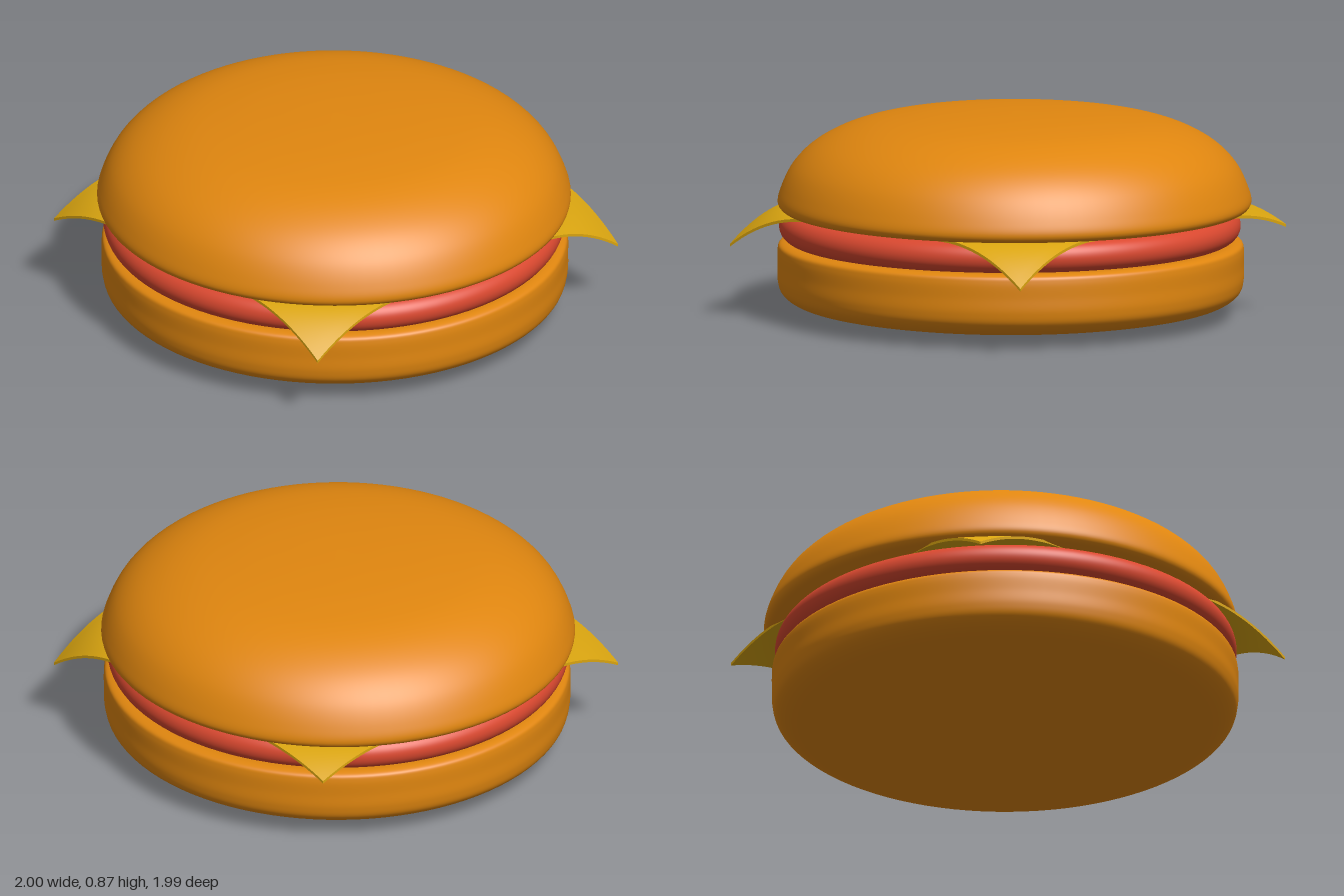
import * as THREE from 'three';

const bunMaterial = new THREE.MeshStandardMaterial({ color: 0xe0860f });
const pattyMaterial = new THREE.MeshStandardMaterial({ color: 0xd9482f });
const cheeseMaterial = new THREE.MeshStandardMaterial({ color: 0xdaa510 });

// Round solid from a profile of [radius, y] points listed from bottom to top.
function turned(name, profile, material, x, z) {
  const curve = new THREE.CatmullRomCurve3(
    profile.map(([r, y]) => new THREE.Vector3(r, y, 0)), false, 'centripetal');
  const points = curve.getPoints(90).map((p) => new THREE.Vector2(Math.max(p.x, 0), p.y));
  const mesh = new THREE.Mesh(new THREE.LatheGeometry(points, 96), material);
  mesh.name = name;
  mesh.position.set(x, 0, z);
  return mesh;
}

// Square slice whose corners hang down beyond the edge of the patty.
function cheeseSlice() {
  const geometry = new THREE.BoxGeometry(2, 0.012, 2, 48, 1, 48);
  const pos = geometry.attributes.position;
  // Corner x, z and the drop at its tip, by the signs of x and z
  const corners = {
    '1,1': [0.855, 0.84, 0.15], '1,-1': [0.855, -0.845, 0.165],
    '-1,1': [-0.82, 0.847, 0.115], '-1,-1': [-0.8, -0.822, 0.075],
  };
  for (let i = 0; i < pos.count; i++) {
    const u = pos.getX(i), v = pos.getZ(i);
    const su = u < 0 ? -1 : 1, sv = v < 0 ? -1 : 1;
    const [cx, cz, drop] = corners[`${su},${sv}`];
    // Edges stay straight at mid-side and ease into each corner
    const x = Math.abs(u) * (su * (su > 0 ? 0.855 : 0.82) * (1 - v * v) + cx * v * v);
    const z = Math.abs(v) * (sv * 0.847 * (1 - u * u) + cz * u * u);
    const t = Math.max(0, (Math.hypot(x, z) - 0.94) / (Math.hypot(cx, cz) - 0.94));
    pos.setXYZ(i, x, 0.456 + pos.getY(i) - drop * Math.pow(t, 1.7), z);
  }
  geometry.computeVertexNormals();
  const mesh = new THREE.Mesh(geometry, cheeseMaterial);
  mesh.name = 'cheeseSlice';
  return mesh;
}

export function createModel() {
  const group = new THREE.Group();
  group.name = 'cheeseburger';

  // Bottom bun with a rounded underside and a nearly square top rim
  group.add(turned('bottomBun', [
    [0, 0], [0.3, 0.004], [0.6, 0.018], [0.8, 0.04], [0.92, 0.07], [0.968, 0.108],
    [0.982, 0.155], [0.983, 0.22], [0.983, 0.285], [0.977, 0.308], [0.955, 0.319], [0.9, 0.321], [0, 0.321],
  ], bunMaterial, 0.015, 0.005));

  // Patty disc with a half-round rim
  const patty = [[0, 0.32], [0.85, 0.32]];
  for (let i = 0; i <= 8; i++) {
    const a = -Math.PI / 2 + (i / 8) * Math.PI;
    patty.push([0.908 + 0.065 * Math.cos(a), 0.386 + 0.065 * Math.sin(a)]);
  }
  patty.push([0.85, 0.451], [0, 0.451]);
  group.add(turned('patty', patty, pattyMaterial, 0.015, 0.01));

  group.add(cheeseSlice());

  // Domed top bun
  const topBun = turned('topBun', [
    [0, 0.46], [0.86, 0.455], [0.94, 0.453], [0.985, 0.463], [1, 0.487], [0.985, 0.55], [0.94, 0.64],
    [0.87, 0.715], [0.77, 0.777], [0.64, 0.823], [0.45, 0.853], [0.22, 0.869], [0, 0.874],
  ], bunMaterial, 0, -0.003);
  topBun.scale.z = 0.997;
  group.add(topBun);

  return group;
}
